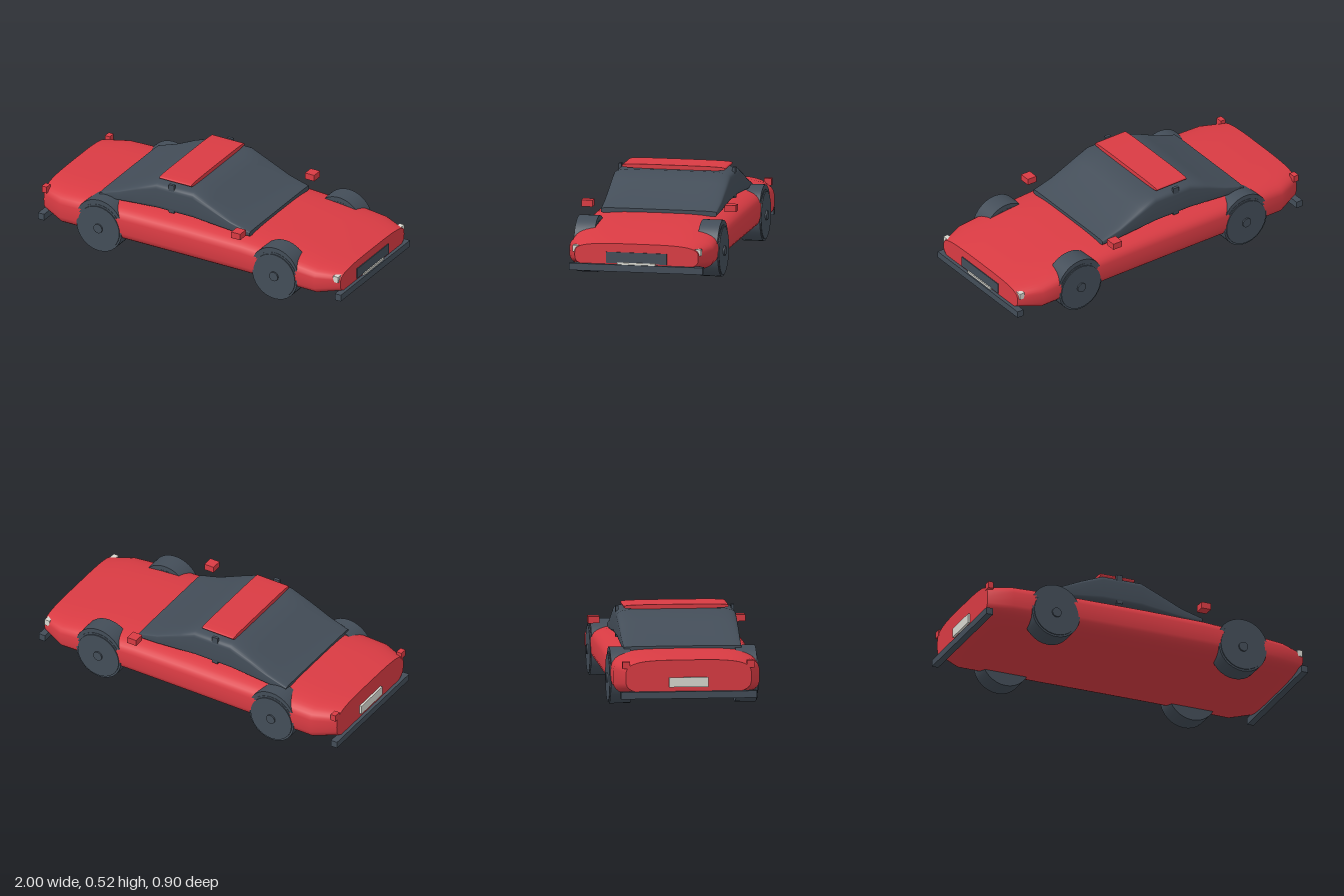
import * as THREE from 'three';

const red = new THREE.MeshStandardMaterial({ color: 0xd93b43 });
red.name = 'red paint';
const dark = new THREE.MeshStandardMaterial({ color: 0x434d58 });
dark.name = 'dark slate';
const pale = new THREE.MeshStandardMaterial({ color: 0xd8d8d0 });
pale.name = 'pale lamp';

// Superellipse sections [x, bottom, top, halfWidth] joined along x, with flat end caps
function loft(sections, power, segments = 48) {
  const pos = [], index = [];
  const ring = ([x, y0, y1, w]) => {
    for (let j = 0; j < segments; j++) {
      const t = (j / segments) * Math.PI * 2, c = Math.cos(t), s = Math.sin(t);
      const bend = (v) => Math.sign(v) * Math.abs(v) ** (2 / power);
      pos.push(x, (y0 + y1) / 2 + bend(c) * (y1 - y0) / 2, bend(s) * w);
    }
  };
  sections.forEach(ring);
  for (let i = 0; i < sections.length - 1; i++) {
    for (let j = 0; j < segments; j++) {
      const k = (j + 1) % segments;
      const a = i * segments + j, b = a + segments, c = i * segments + k, d = c + segments;
      index.push(a, c, b, b, c, d);
    }
  }
  for (const front of [false, true]) {
    const s = front ? sections[sections.length - 1] : sections[0];
    const start = pos.length / 3;
    ring(s);
    const centre = pos.length / 3;
    pos.push(s[0], (s[1] + s[2]) / 2, 0);
    for (let j = 0; j < segments; j++) {
      const a = start + j, b = start + (j + 1) % segments;
      index.push(centre, front ? a : b, front ? b : a);
    }
  }
  const g = new THREE.BufferGeometry();
  g.setAttribute('position', new THREE.Float32BufferAttribute(pos, 3));
  g.setIndex(index);
  g.computeVertexNormals();
  return g;
}

export function createModel() {
  const car = new THREE.Group();
  car.name = 'car';

  const add = (name, geometry, material, parent = car) => {
    const m = new THREE.Mesh(geometry, material);
    m.name = name;
    parent.add(m);
    return m;
  };
  // Box given by its limits on each axis
  const box = (name, material, [x0, x1], [y0, y1], [z0, z1]) =>
    add(name, new THREE.BoxGeometry(x1 - x0, y1 - y0, z1 - z0), material)
      .position.set((x0 + x1) / 2, (y0 + y1) / 2, (z0 + z1) / 2);
  // Same box on both flanks
  const pair = (name, material, x, y, [z0, z1]) => {
    box(name + 'Left', material, x, y, [z0, z1]);
    box(name + 'Right', material, x, y, [-z1, -z0]);
  };
  // Cylinder whose axis runs across the car
  const disc = (r, depth, start = 0, length = Math.PI * 2) =>
    new THREE.CylinderGeometry(r, r, depth, 32, 1, false, start, length).rotateX(Math.PI / 2);

  // Body shell, cabin and roof panel
  add('body', loft([
    [-0.98, 0.10, 0.30, 0.36], [-0.84, 0.067, 0.311, 0.42], [-0.6, 0.067, 0.318, 0.422],
    [0, 0.067, 0.32, 0.422], [0.35, 0.067, 0.315, 0.422], [0.6, 0.067, 0.297, 0.422],
    [0.84, 0.067, 0.265, 0.42], [0.98, 0.10, 0.24, 0.36],
  ], 3.7), red);
  add('cabin', loft([
    [-0.625, 0.30, 0.33, 0.337], [-0.5, 0.30, 0.378, 0.34], [-0.38, 0.305, 0.437, 0.342],
    [-0.25, 0.31, 0.492, 0.343], [-0.01, 0.31, 0.492, 0.343], [0.09, 0.305, 0.445, 0.342],
    [0.24, 0.30, 0.372, 0.34], [0.365, 0.30, 0.333, 0.337],
  ], 7), dark);
  add('roofPanel', loft([[-0.25, 0.492, 0.517, 0.3], [-0.04, 0.492, 0.517, 0.3]], 4), red);
  pair('doorPillar', dark, [-0.168, -0.132], [0.322, 0.5], [0.323, 0.34]);
  pair('mirror', red, [0.31, 0.37], [0.334, 0.372], [0.385, 0.45]);

  // Bumpers, lamps, grille and plates
  box('frontBumper', dark, [0.96, 1], [0.08, 0.12], [-0.39, 0.39]);
  box('rearBumper', dark, [-1, -0.96], [0.08, 0.12], [-0.39, 0.39]);
  pair('headlight', pale, [0.94, 0.972], [0.183, 0.22], [0.335, 0.374]);
  pair('tailLight', red, [-0.982, -0.95], [0.252, 0.292], [0.335, 0.378]);
  box('grille', dark, [0.97, 0.985], [0.127, 0.19], [-0.177, 0.177]);
  box('frontPlate', pale, [0.975, 0.992], [0.085, 0.132], [-0.112, 0.112]);
  box('rearPlate', pale, [-0.993, -0.97], [0.145, 0.2], [-0.112, 0.112]);

  // Wheels with raised arches, hub discs and caps
  for (const x of [-0.58, 0.58]) {
    for (const side of [-1, 1]) {
      const wheel = new THREE.Group();
      wheel.name = (x > 0 ? 'front' : 'rear') + 'Wheel' + (side > 0 ? 'Left' : 'Right');
      wheel.position.set(x, 0.148, 0);
      car.add(wheel);
      add('tyre', disc(0.148, 0.12), dark, wheel).position.z = side * 0.36;
      add('rim', disc(0.137, 0.03), dark, wheel).position.z = side * 0.411;
      add('hubCap', disc(0.028, 0.03), dark, wheel).position.z = side * 0.42;
      add('arch', disc(0.154, 0.117, Math.PI / 2, Math.PI), dark, wheel)
        .position.set(0, 0.022, side * 0.3595);
    }
  }
  return car;
}
